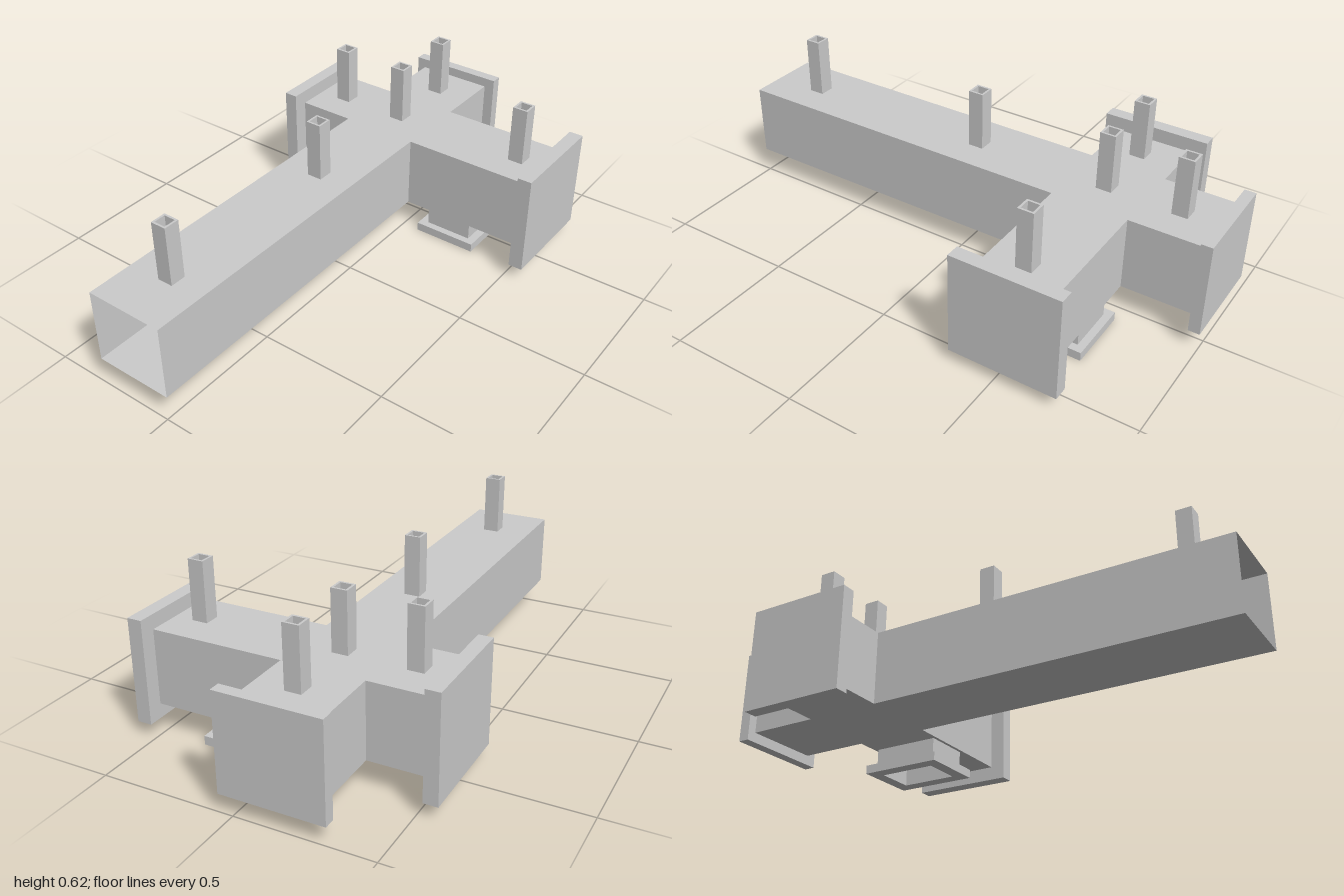
import * as THREE from 'three';

const material = new THREE.MeshStandardMaterial({ color: 0xcccccc, flatShading: true });
const sheetMaterial = new THREE.MeshStandardMaterial({ color: 0xcccccc, flatShading: true, side: THREE.DoubleSide });

function addMesh(parent, name, geometry, mat = material) {
  const mesh = new THREE.Mesh(geometry, mat);
  mesh.name = name;
  parent.add(mesh);
  return mesh;
}

// Box given by its limits on each axis
function slab(parent, name, [x0, x1], [y0, y1], [z0, z1]) {
  const geometry = new THREE.BoxGeometry(x1 - x0, y1 - y0, z1 - z0);
  geometry.translate((x0 + x1) / 2, (y0 + y1) / 2, (z0 + z1) / 2);
  return addMesh(parent, name, geometry);
}

// Rectangle in plan; shape y is -z so that rotateX(-90 deg) lays it flat
function planRect(Type, cx, cz, w, d) {
  const x = w / 2, z = d / 2;
  return new Type([[-x, -z], [x, -z], [x, z], [-x, z]].map(([a, b]) => new THREE.Vector2(cx + a, -cz + b)));
}

// Upright rectangular pipe, open at both ends
function pipe(parent, name, cx, cz, w, d, holeW, holeD, y0, y1) {
  const shape = planRect(THREE.Shape, cx, cz, w, d);
  shape.holes.push(planRect(THREE.Path, cx, cz, holeW, holeD));
  const geometry = new THREE.ExtrudeGeometry(shape, { depth: y1 - y0, bevelEnabled: false });
  geometry.rotateX(-Math.PI / 2).translate(0, y0, 0);
  return addMesh(parent, name, geometry);
}

export function createModel() {
  const model = new THREE.Group();
  model.name = 'ductJunction';

  const bottom = 0.105, top = 0.39;
  const port = { x: 0.532, z: 0.197, holeW: 0.228, holeD: 0.152 };
  const postSpots = [
    [-0.79, -0.137], [-0.01, -0.137], [0.528, -0.137],
    [0.817, -0.137], [0.528, 0.412], [0.528, -0.406],
  ];
  const postSize = 0.06, postHole = 0.044;

  // Cross-shaped duct in plan (x, z), starting and ending at its open end
  const outline = [
    [-1, 0.01], [0.385, 0.01], [0.385, 0.515], [0.68, 0.515], [0.68, 0.01], [0.96, 0.01],
    [0.96, -0.295], [0.68, -0.295], [0.68, -0.52], [0.385, -0.52], [0.385, -0.295], [-1, -0.295],
  ];
  const duct = new THREE.Group();
  duct.name = 'duct';
  model.add(duct);

  // Roof and floor sheets, with openings for the posts and the lower port
  const sheet = (name, y, holes) => {
    const shape = new THREE.Shape(outline.map(([x, z]) => new THREE.Vector2(x, -z)));
    shape.holes.push(...holes);
    const geometry = new THREE.ShapeGeometry(shape).rotateX(-Math.PI / 2).translate(0, y, 0);
    addMesh(duct, name, geometry, sheetMaterial);
  };
  sheet('roof', top, postSpots.map(([x, z]) => planRect(THREE.Path, x, z, postHole, postHole)));
  sheet('floor', bottom, [planRect(THREE.Path, port.x, port.z, port.holeW, port.holeD)]);

  // Side walls along the outline, leaving the far end open
  for (let i = 0; i < outline.length - 1; i++) {
    const [x0, z0] = outline[i], [x1, z1] = outline[i + 1];
    const geometry = new THREE.PlaneGeometry(Math.hypot(x1 - x0, z1 - z0), top - bottom);
    geometry.rotateY(-Math.atan2(z1 - z0, x1 - x0));
    geometry.translate((x0 + x1) / 2, (top + bottom) / 2, (z0 + z1) / 2);
    addMesh(duct, 'sideWall', geometry, sheetMaterial);
  }

  // Blind end plates
  slab(model, 'frontPlate', [0.326, 0.739], [0.05, 0.445], [0.515, 0.57]);
  slab(model, 'backPlate', [0.326, 0.739], [0.05, 0.445], [-0.573, -0.52]);
  slab(model, 'endPlate', [0.957, 1], [0.066, 0.428], [-0.331, 0.052]);

  // Lower port: neck and rim
  pipe(model, 'portNeck', port.x, port.z, 0.268, 0.189, port.holeW, port.holeD, 0.034, bottom);
  pipe(model, 'portRim', port.x, port.z, 0.326, 0.253, port.holeW, port.holeD, 0, 0.034);

  // Hollow posts on the roof
  for (const [x, z] of postSpots) pipe(model, 'post', x, z, postSize, postSize, postHole, postHole, top, 0.617);

  return model;
}
